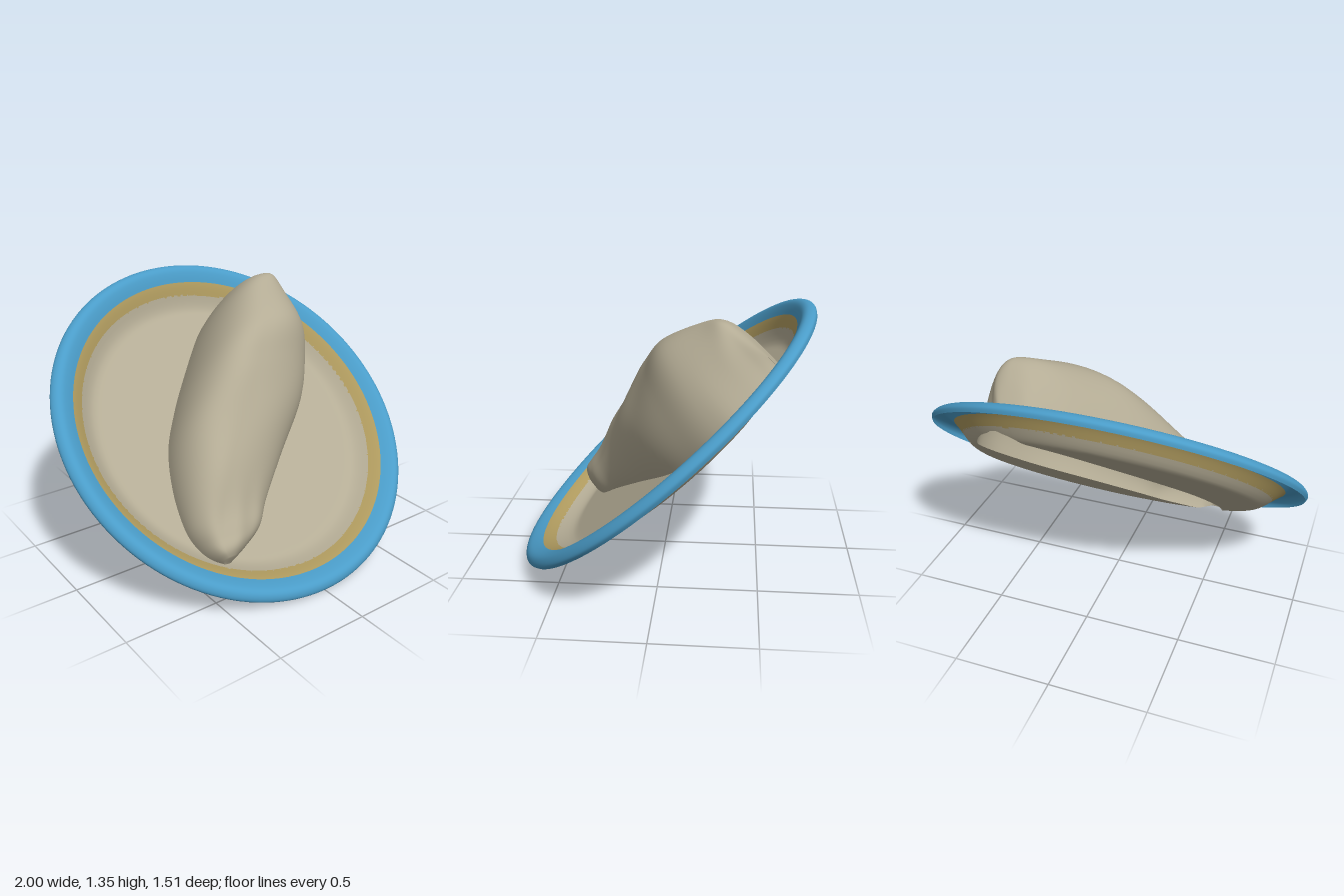
import * as THREE from 'three';

const { smoothstep } = THREE.MathUtils;
const mat = (name, color) => {
  const m = new THREE.MeshStandardMaterial({ color, side: THREE.DoubleSide });
  m.name = name;
  return m;
};
const part = (name, geometry, material) => {
  const m = new THREE.Mesh(geometry, material);
  m.name = name;
  return m;
};

// Height of the dish surface at radius r
const dishY = (r) => -0.102 + 0.116 * smoothstep(r, 0.735, 0.93);
const INNER = 0.825;
const FOOT = 0.81;

// Smooth sheet through a grid of points, rows[i][j]
function sheet(rows, closed = false) {
  const n = rows[0].length, pos = [], index = [];
  rows.forEach((row) => row.forEach((p) => pos.push(p.x, p.y, p.z)));
  for (let i = 0; i < rows.length - 1; i++) {
    for (let j = 0; j < (closed ? n : n - 1); j++) {
      const k = (j + 1) % n;
      const a = i * n + j, b = i * n + k, c = a + n, d = b + n;
      index.push(a, b, c, b, d, c);
    }
  }
  const g = new THREE.BufferGeometry();
  g.setAttribute('position', new THREE.Float32BufferAttribute(pos, 3));
  g.setIndex(index);
  g.computeVertexNormals();
  return g;
}

// Cross-sections of the food: z, left x, right x, ridge x, ridge height
const SECTIONS = [
  [0.685, -0.42, -0.38, -0.4, -0.04],
  [0.64, -0.47, -0.27, -0.43, 0.03],
  [0.57, -0.5, -0.14, -0.41, 0.055],
  [0.45, -0.52, -0.03, -0.36, 0.09],
  [0.25, -0.49, 0.18, -0.26, 0.175],
  [0.03, -0.41, 0.42, -0.09, 0.27],
  [-0.16, -0.28, 0.55, 0.05, 0.34],
  [-0.34, -0.13, 0.615, 0.18, 0.39],
  [-0.56, 0.07, 0.6, 0.33, 0.345],
  [-0.66, 0.19, 0.53, 0.41, 0.305],
  [-0.7, 0.25, 0.48, 0.4, 0.2],
  [-0.715, 0.29, 0.41, 0.35, 0.02],
];

function foodRows(steps = 80, arc = 40) {
  const spline = (f) => new THREE.CatmullRomCurve3(
    SECTIONS.map(f), false, 'catmullrom', 0.5);
  const sides = spline((s) => new THREE.Vector3(s[1], s[2], s[0]));
  const ridge = spline((s) => new THREE.Vector3(s[3], s[4], s[0]));
  const rows = [];
  for (let i = 0; i <= steps; i++) {
    const e = sides.getPoint(i / steps), top = ridge.getPoint(i / steps);
    const taper = Math.min(1, i / 2, (steps - i) / 2);
    const row = [];
    for (let j = 0; j <= arc; j++) {
      const t = (Math.PI * j) / arc, c = Math.cos(t), s = Math.sin(t);
      const edge = c > 0 ? e.x : e.y;
      // The broad end is undercut on its right side
      const undercut = c < 0 ? 0.07 * Math.pow(c, 6) * smoothstep(-e.z, 0.4, 0.65) : 0;
      const p = new THREE.Vector3(
        top.x + (edge - top.x) * Math.pow(Math.abs(c), 0.85) - undercut, 0, e.z);
      const base = dishY(Math.min(Math.hypot(p.x, p.z), FOOT));
      const rise = taper * (top.y - base) * Math.pow(Math.max(s, 0), 0.95);
      // Soft dents and finer folds near the narrow end
      const dents = 0.008 * Math.sin(9 * p.x + 5 * p.z) * Math.sin(11 * p.z - 4 * p.x);
      const folds = 0.006 * smoothstep(p.z, 0.3, 0.55) * Math.sin(38 * p.x + 14 * p.z);
      p.y = base + rise + (dents + folds) * s * Math.min(1, rise * 8);
      // Keep the foot inside the dish while the upper body may overhang
      const r = Math.hypot(p.x, p.z), limit = FOOT + 0.4 * Math.max(0, rise);
      if (r > limit) {
        p.x *= limit / r;
        p.z *= limit / r;
      }
      row.push(p);
    }
    rows.push(row);
  }
  return rows;
}

// Dish floor, from the foot of the food out to just under the ochre band
function floorRows(rows, steps = 20) {
  const last = rows[0].length - 1;
  const foot = [
    ...rows.map((r) => r[0]),
    ...rows.map((r) => r[last]).reverse(),
  ];
  const rings = [];
  for (let k = 0; k <= steps; k++) {
    rings.push(foot.map((p) => {
      const r0 = Math.hypot(p.x, p.z);
      const r = r0 + (INNER + 0.006 - r0) * (k / steps);
      return new THREE.Vector3((p.x / r0) * r, dishY(r), (p.z / r0) * r);
    }));
  }
  return rings;
}

const lathe = (points) => new THREE.LatheGeometry(points, 128);

export function createModel() {
  const beige = mat('beige', 0xb4ac95);
  const yellow = mat('ochre', 0xb29d60);
  const blue = mat('blue', 0x4a9cc8);

  const model = new THREE.Group();
  model.name = 'tiltedPlateWithFood';
  const plate = new THREE.Group();
  plate.name = 'plate';
  plate.rotation.set(0.727, 0, -0.012);
  plate.position.y = 0.675;
  model.add(plate);

  // Food is a hollow shell, joined to an opening in the dish floor
  const rows = foodRows();
  plate.add(part('food', sheet(rows), beige));
  plate.add(part('dishFloor', sheet(floorRows(rows), true), beige));

  // Ochre band on the slope of the dish
  const band = [];
  for (let i = 0; i <= 6; i++) {
    const r = INNER + i * 0.01;
    band.push(new THREE.Vector2(r, dishY(r)));
  }
  plate.add(part('innerBand', lathe(band), yellow));

  // Rolled blue rim
  const profile = new THREE.SplineCurve([
    band[band.length - 1],
    ...[[0.915, 0.017], [0.945, 0.03], [0.97, 0.029], [0.99, 0.015],
      [0.999, -0.004], [0.99, -0.025]].map(([r, y]) => new THREE.Vector2(r, y)),
  ]);
  plate.add(part('rim', lathe(profile.getPoints(24)), blue));

  return model;
}
